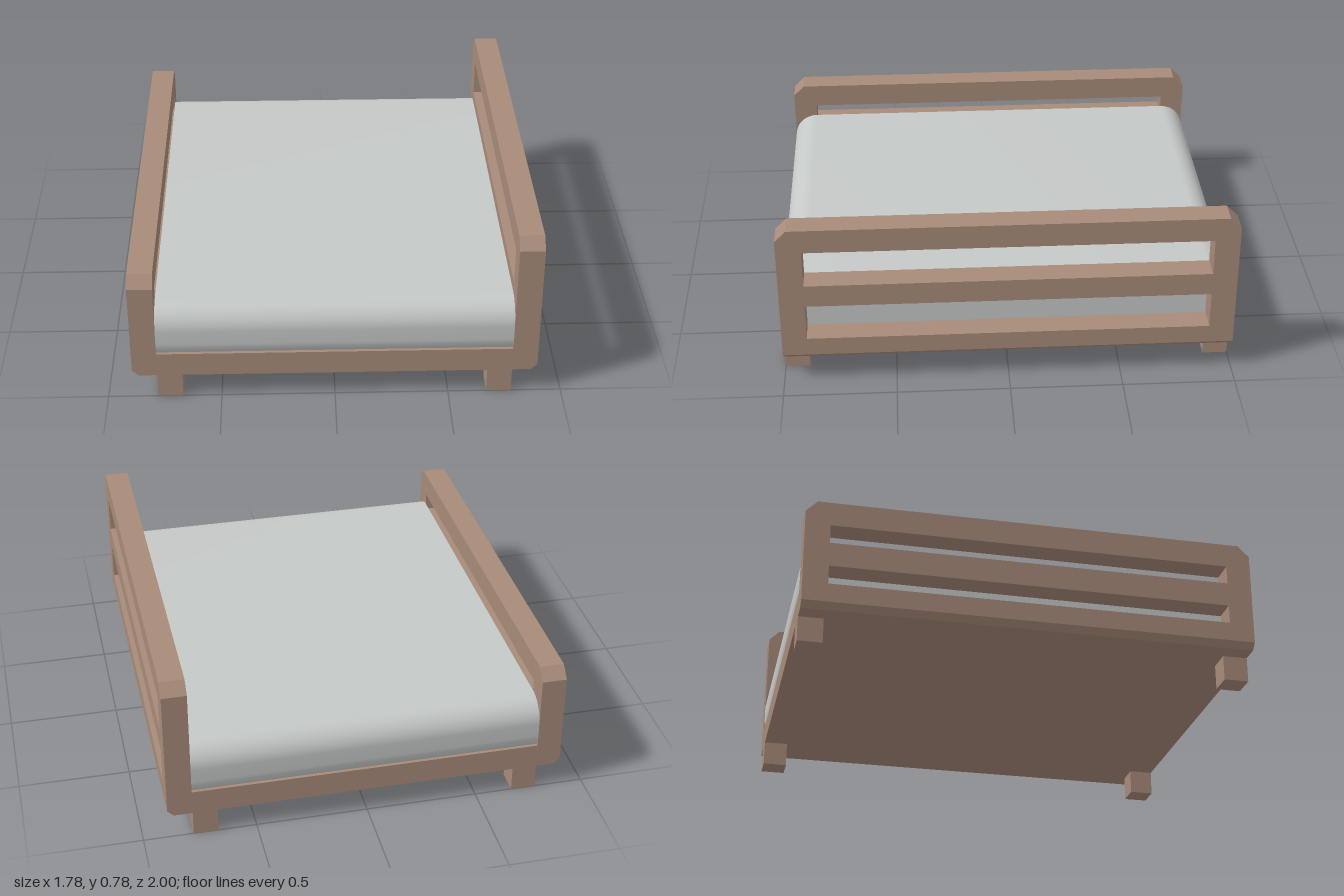
import * as THREE from 'three';
import { toCreasedNormals } from 'three/addons/utils/BufferGeometryUtils.js';

const polygon = (pts) => new THREE.Shape(pts.map(([x, y]) => new THREE.Vector2(x, y)));

// Extrude a profile and centre it along its depth.
function extrude(shape, depth) {
  return new THREE.ExtrudeGeometry(shape, { depth, bevelEnabled: false, curveSegments: 8 })
    .translate(0, 0, -depth / 2);
}

// Slotted end panel in the z-y plane; slots are [bottom, top] pairs.
function panelGeometry(top, slots) {
  const c = 0.05;
  const shape = polygon([[-1, 0.14], [1, 0.14], [1, top - c], [1 - c, top], [c - 1, top], [-1, top - c]]);
  for (const [a, b] of slots) {
    shape.holes.push(polygon([[-0.89, a], [-0.89, b], [0.89, b], [0.89, a]]));
  }
  return extrude(shape, 0.11).rotateY(Math.PI / 2);
}

export function createModel() {
  const wood = new THREE.MeshStandardMaterial({ name: 'brown wood', color: 0xa78a79 });
  const fabric = new THREE.MeshStandardMaterial({ name: 'grey fabric', color: 0xc4c8c6 });
  const bed = new THREE.Group();
  bed.name = 'bed';

  const add = (name, geometry, material, x = 0, y = 0, z = 0) => {
    const mesh = new THREE.Mesh(geometry, material);
    mesh.name = name;
    mesh.position.set(x, y, z);
    bed.add(mesh);
  };

  // Base platform with chamfered lower edges under the end panels
  add('base', extrude(polygon([
    [-0.862, 0.113], [0.862, 0.113], [0.89, 0.14], [0.78, 0.14],
    [0.78, 0.225], [-0.78, 0.225], [-0.78, 0.14], [-0.89, 0.14],
  ]), 2), wood);

  // Tall headboard and lower footboard, each with a middle rail
  add('headboard', panelGeometry(0.78, [[0.225, 0.395], [0.5, 0.67]]), wood, 0.835);
  add('footboard', panelGeometry(0.615, [[0.225, 0.31], [0.42, 0.505]]), wood, -0.835);

  // Mattress with rounded front and back upper edges
  const r = 0.11;
  const side = new THREE.Shape();
  side.moveTo(-0.985, 0.225);
  side.lineTo(0.985, 0.225);
  side.quadraticCurveTo(1, 0.25, 1, 0.28);
  side.lineTo(1, 0.45 - r);
  side.absarc(1 - r, 0.45 - r, r, 0, Math.PI / 2, false);
  side.lineTo(r - 1, 0.45);
  side.absarc(r - 1, 0.45 - r, r, Math.PI / 2, Math.PI, false);
  side.lineTo(-1, 0.28);
  side.quadraticCurveTo(-1, 0.25, -0.985, 0.225);
  add('mattress', toCreasedNormals(extrude(side, 1.56).rotateY(Math.PI / 2), 0.6), fabric);

  // Four square legs
  const leg = new THREE.BoxGeometry(0.11, 0.115, 0.11);
  for (const x of [-1, 1]) {
    for (const z of [-1, 1]) add('leg', leg, wood, x * 0.725, 0.0575, z * 0.945);
  }
  return bed;
}
